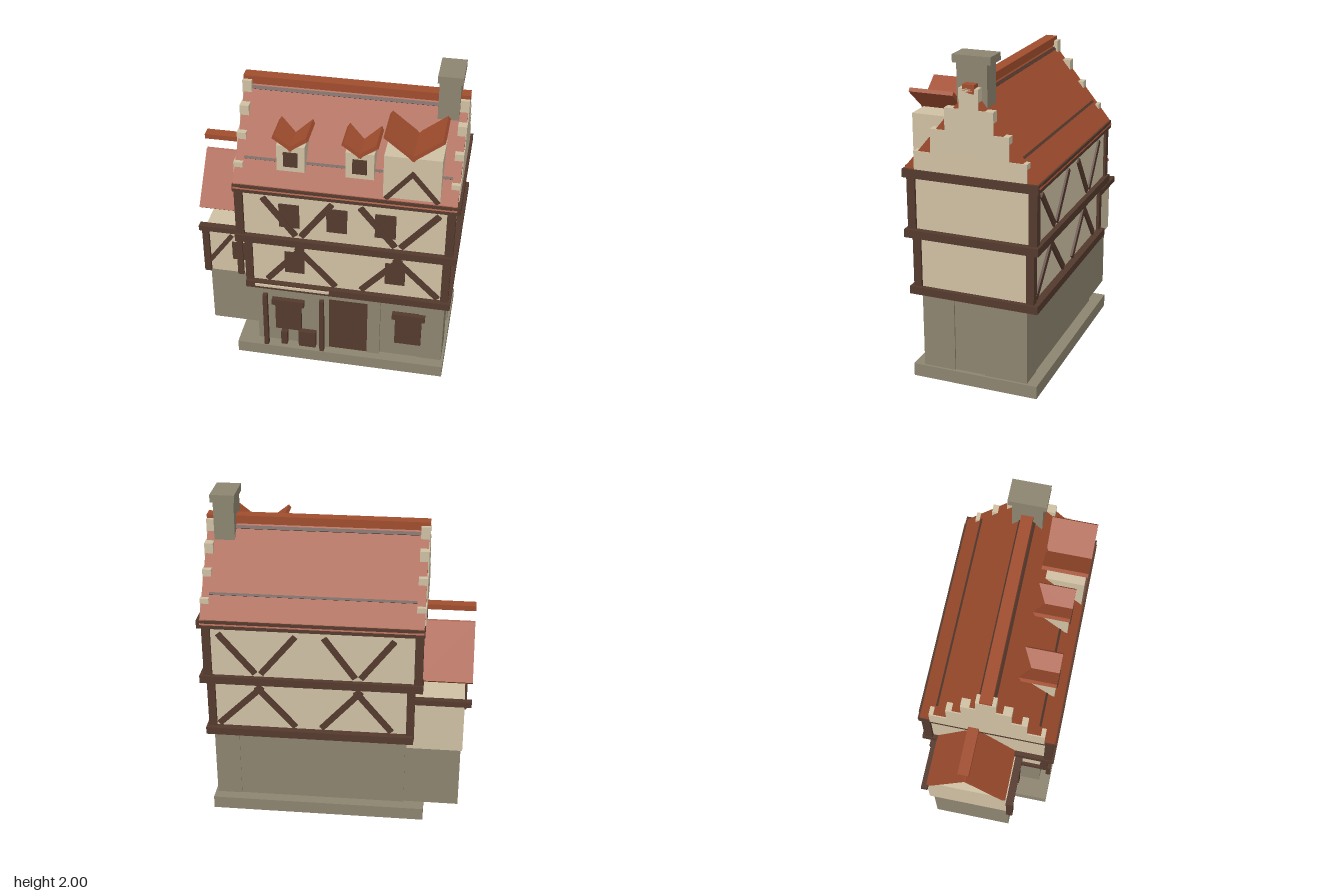
import * as THREE from 'three';

const mat = (name, color) => {
  const m = new THREE.MeshStandardMaterial({ color });
  m.name = name;
  return m;
};

export function createModel() {
  const root = new THREE.Group();
  root.name = 'timberFramedHouse';
  const plaster = mat('cream plaster', 0xcfc0a3);
  const stone = mat('grey stone', 0x8c846f);
  const wood = mat('dark timber', 0x54392d);
  const tile = mat('red roof tile', 0xa04d2e);

  const add = (name, geometry, material) => {
    const mesh = new THREE.Mesh(geometry, material);
    mesh.name = name;
    root.add(mesh);
    return mesh;
  };
  // box given by its extents
  const box = (name, m, x0, x1, y0, y1, z0, z1) => {
    const mesh = add(name, new THREE.BoxGeometry(x1 - x0, y1 - y0, z1 - z0), m);
    mesh.position.set((x0 + x1) / 2, (y0 + y1) / 2, (z0 + z1) / 2);
    return mesh;
  };
  // slanted bar in the xy plane
  const bar = (name, m, xa, ya, xb, yb, w, z0, z1) => {
    const mesh = add(name, new THREE.BoxGeometry(Math.hypot(xb - xa, yb - ya), w, z1 - z0), m);
    mesh.position.set((xa + xb) / 2, (ya + yb) / 2, (z0 + z1) / 2);
    mesh.rotation.z = Math.atan2(yb - ya, xb - xa);
  };
  // slanted board in the zy plane
  const slope = (name, m, x0, x1, za, ya, zb, yb, t) => {
    const mesh = add(name, new THREE.BoxGeometry(x1 - x0, t, Math.hypot(zb - za, yb - ya)), m);
    mesh.position.set((x0 + x1) / 2, (ya + yb) / 2, (za + zb) / 2);
    mesh.rotation.x = -Math.atan2(yb - ya, zb - za);
  };
  // profile of [z, y] points extruded along x
  const profile = (name, m, points, x0, x1) => {
    const shape = new THREE.Shape(points.map(([z, y]) => new THREE.Vector2(-z, y)));
    const g = new THREE.ExtrudeGeometry(shape, { depth: x1 - x0, bevelEnabled: false });
    g.rotateY(Math.PI / 2);
    g.translate(x0, 0, 0);
    return add(name, g, m);
  };

  // stone ground floor
  box('plinth', stone, -0.555, 0.77, 0, 0.08, -0.39, 0.395);
  box('groundFloor', stone, -0.43, 0.745, 0.08, 0.56, -0.32, 0.325);
  box('sideStoneFront', stone, 0.6, 0.755, 0.08, 0.55, 0.13, 0.33);
  box('sideStoneBack', stone, 0.6, 0.755, 0.08, 0.55, -0.325, -0.06);
  box('doorJambLeft', stone, 0.28, 0.36, 0.08, 0.52, 0.3, 0.345);
  box('doorJambRight', stone, -0.04, 0.035, 0.08, 0.52, 0.3, 0.345);
  box('doorLintel', stone, -0.04, 0.36, 0.485, 0.55, 0.3, 0.345);
  box('door', wood, 0.035, 0.28, 0.08, 0.485, 0.3, 0.338);
  for (const x of [-0.228, 0.538]) {
    box('groundShutter', wood, x - 0.083, x + 0.083, 0.195, 0.39, 0.32, 0.348);
    box('groundWindowHood', wood, x - 0.103, x + 0.103, 0.395, 0.437, 0.32, 0.358);
  }
  for (const x of [-0.367, -0.006]) box('porchPost', wood, x - 0.014, x + 0.014, 0.08, 0.49, 0.36, 0.39);
  box('bench', wood, -0.16, -0.05, 0.08, 0.2, 0.33, 0.365);
  box('stool', wood, -0.275, -0.235, 0.08, 0.18, 0.33, 0.365);
  box('porchEdge', plaster, -0.42, 0.045, 0.575, 0.59, 0.35, 0.405);

  // upper storeys with corner posts
  box('middleStorey', plaster, -0.465, 0.76, 0.56, 0.94, -0.355, 0.36);
  box('upperStorey', plaster, -0.505, 0.77, 0.94, 1.3, -0.38, 0.375);
  const posts = (x0, x1, y0, y1, z, w) => {
    for (const px of [x0, x1 - w]) for (const pz of [-z, z - w]) {
      box('cornerPost', wood, px, px + w, y0, y1, pz, pz + w);
    }
  };
  posts(-0.483, 0.775, 0.56, 0.94, 0.373, 0.048);
  posts(-0.525, 0.785, 0.94, 1.3, 0.395, 0.05);
  box('lowerBeamRing', wood, -0.48, 0.79, 0.553, 0.6, -0.4, 0.395);
  box('middleBeamRing', wood, -0.53, 0.81, 0.915, 0.963, -0.41, 0.41);
  box('upperBeamRing', wood, -0.53, 0.81, 1.28, 1.33, -0.41, 0.41);

  // crossed braces on front and back
  for (const [c, l, r] of [[-0.14, -0.345, 0.08], [0.46, 0.24, 0.71]]) {
    for (const s of [1, -1]) {
      const low = s > 0 ? [0.35, 0.372] : [-0.369, -0.35];
      const high = s > 0 ? [0.365, 0.39] : [-0.392, -0.365];
      bar('middleBrace', wood, l, 0.615, c + 0.015, 0.88, 0.036, ...low);
      bar('middleBrace', wood, r, 0.615, c - 0.02, 0.88, 0.036, ...low);
      bar('upperBrace', wood, l - 0.01, 1.24, c - 0.02, 0.985, 0.036, ...high);
      bar('upperBrace', wood, r - 0.02, 1.24, c + 0.015, 0.985, 0.036, ...high);
    }
  }
  for (const x of [-0.175, 0.445]) box('middleWindow', wood, x - 0.061, x + 0.061, 0.685, 0.84, 0.35, 0.368);
  for (const x of [-0.198, 0.09, 0.38]) box('upperWindow', wood, x - 0.062, x + 0.062, 1.04, 1.205, 0.365, 0.383);

  // main roof
  profile('mainRoof', tile, [[0.415, 1.305], [0.4, 1.335], [0, 1.825], [-0.4, 1.335], [-0.415, 1.305]], -0.525, 0.79);
  box('ridgeCap', tile, -0.53, 0.795, 1.8, 1.85, -0.035, 0.035);
  for (const s of [-1, 1]) {
    slope('roofBatten', wood, -0.475, 0.745, s * 0.305, 1.452, s * 0.295, 1.464, 0.008);
    slope('upperRoofBatten', wood, -0.475, 0.745, s * 0.045, 1.771, s * 0.032, 1.787, 0.012);
    box('eaveStrip', wood, -0.49, 0.76, 1.315, 1.333, s * 0.409 - 0.005, s * 0.409 + 0.005);
  }

  // stepped gables
  const steps = [[0.34, 1.31], [0.34, 1.44], [0.235, 1.44], [0.235, 1.58], [0.145, 1.58], [0.145, 1.71], [0.058, 1.71], [0.058, 1.828]];
  const gable = [...steps, ...steps.slice().reverse().map(([z, y]) => [-z, y])];
  profile('gableLeft', plaster, gable, 0.743, 0.795);
  profile('gableRight', plaster, gable, -0.532, -0.477);

  // chimney
  box('chimney', stone, 0.62, 0.743, 1.55, 1.96, -0.09, 0.09);
  box('chimneyCap', stone, 0.61, 0.755, 1.955, 2, -0.115, 0.11);

  // dormers with upturned roof boards
  const dormerRoof = (x, half, y0, y1, z1) => {
    for (const s of [-1, 1]) {
      bar('dormerRoofBoard', tile, x + s * half, y1, x - s * 0.012, y0, 0.024, 0.137, z1);
    }
  };
  for (const x of [-0.188, 0.216]) {
    box('smallDormer', plaster, x - 0.083, x + 0.083, 1.42, 1.59, 0.14, 0.345);
    box('smallDormerWindow', wood, x - 0.042, x + 0.042, 1.455, 1.55, 0.34, 0.354);
    dormerRoof(x, 0.1, 1.57, 1.65, 0.352);
  }
  box('largeDormer', plaster, 0.36, 0.69, 1.33, 1.625, 0.14, 0.392);
  dormerRoof(0.527, 0.165, 1.62, 1.76, 0.405);
  for (const s of [-1, 1]) bar('largeDormerBrace', wood, 0.527 + s * 0.152, 1.338, 0.527 - s * 0.008, 1.53, 0.028, 0.38, 0.4);

  // side wing
  box('wingBase', stone, -0.77, -0.42, 0.08, 0.49, -0.31, 0.18);
  box('wingStorey', plaster, -0.78, -0.44, 0.49, 0.835, -0.335, 0.19);
  box('wingBeamFront', wood, -0.82, -0.45, 0.81, 0.845, 0.17, 0.215);
  box('wingBeamBack', wood, -0.82, -0.45, 0.81, 0.845, -0.36, -0.32);
  for (const [a, b] of [[-0.802, -0.76], [-0.583, -0.545]]) box('wingPost', wood, a, b, 0.49, 0.82, 0.17, 0.21);
  bar('wingBrace', wood, -0.775, 0.555, -0.615, 0.78, 0.028, 0.18, 0.203);
  bar('wingBrace', wood, -0.36, 0.555, -0.515, 0.78, 0.028, 0.18, 0.203);
  box('wingWindow', wood, -0.615, -0.51, 0.6, 0.73, 0.18, 0.2);
  for (const s of [-1, 1]) slope('wingRoofBoard', tile, -0.82, -0.5, -0.075 + s * 0.232, 0.948, -0.075 - s * 0.002, 1.235, 0.03);
  box('wingRidge', tile, -0.82, -0.5, 1.33, 1.362, -0.11, -0.045);

  return root;
}
